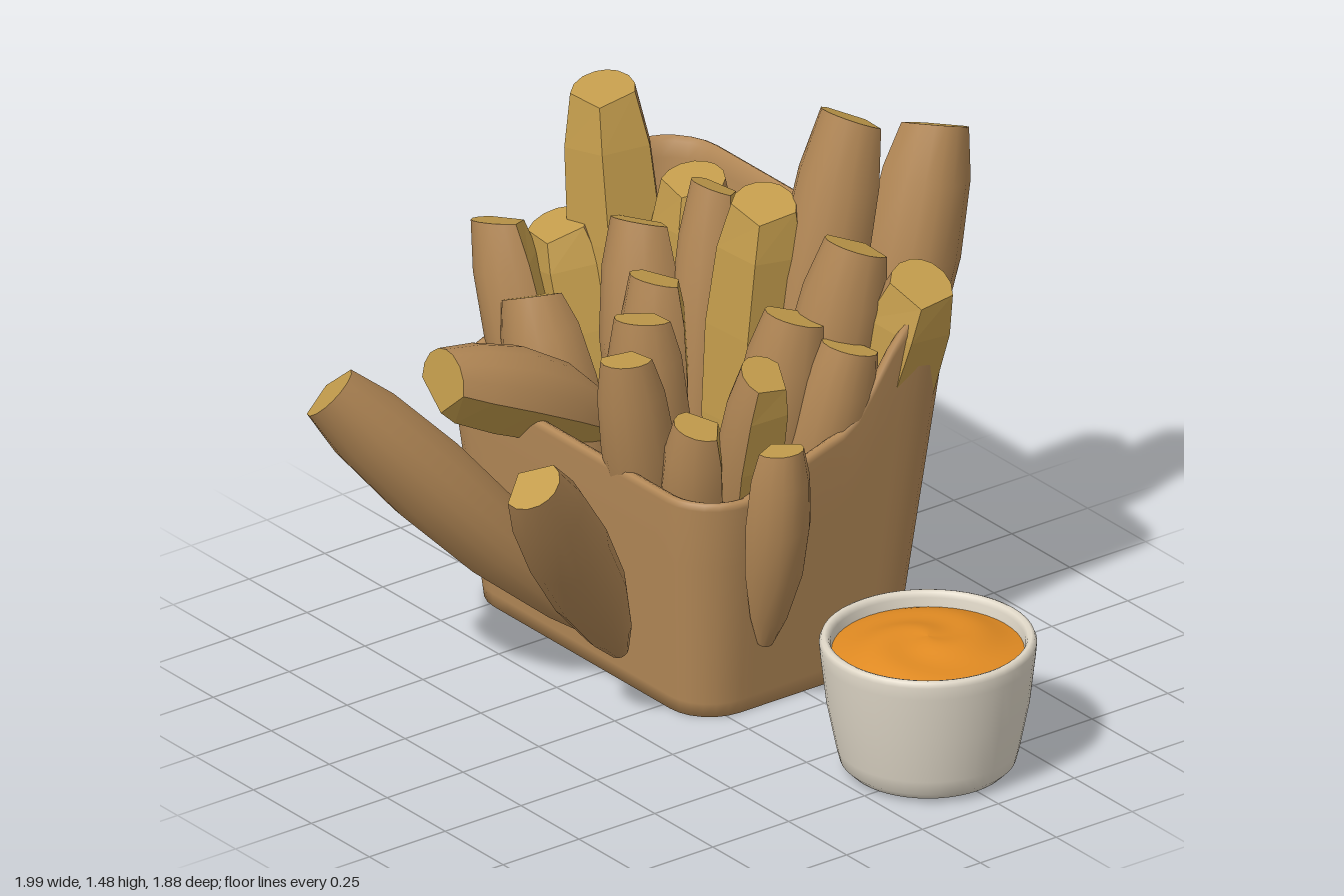
import * as THREE from 'three';

const V = (x, y, z) => new THREE.Vector3(x, y, z);
const rad = THREE.MathUtils.degToRad;
const material = (name, color) => Object.assign(new THREE.MeshStandardMaterial({ color }), { name });

// Surface through rows of points; closed rows wrap round, flat gives hard facets
function loft(rows, closed = false, flat = false) {
  const n = rows[0].length, index = [];
  for (let i = 0; i < rows.length - 1; i++) {
    for (let j = 0; j < (closed ? n : n - 1); j++) {
      const a = i * n + j, b = i * n + (j + 1) % n;
      index.push(a, b, b + n, a, b + n, a + n);
    }
  }
  let g = new THREE.BufferGeometry().setFromPoints(rows.flat());
  g.setIndex(index);
  if (flat) g = g.toNonIndexed();
  g.computeVertexNormals();
  return g;
}

function mesh(geometry, mat, name) {
  const m = new THREE.Mesh(geometry, mat);
  m.name = name;
  return m;
}

// Rounded, flaring carton with a low front and a tall back
function makeCarton(mat) {
  // outline of unit corners and arc directions, with each straight side subdivided
  const corner = (k) => [Math.sign(Math.cos(rad(45 + 90 * k))), -Math.sign(Math.sin(rad(45 + 90 * k)))];
  const outline = [];
  for (let k = 0; k < 4; k++) {
    const [sx, sz] = corner(k), [nx, nz] = corner(k + 1);
    for (let i = 0; i < 18; i++) {
      const a = rad(90 * k + 15 * Math.min(i, 6)), t = Math.max(i - 6, 0) / 12;
      outline.push([sx + (nx - sx) * t, sz + (nz - sz) * t, Math.cos(a), -Math.sin(a)]);
    }
  }
  const ring = (level, inset, spread = 1, floor = 0) => outline.map(([sx, sz, cx, cz]) => {
    const s = (1 - sz) / 2;
    const rim = 0.66 + 0.19 * s + 0.22 * THREE.MathUtils.smoothstep(s, 0.6, 0.95);
    const y = floor + (rim - floor) * level, r = 0.13 + 0.04 * y - inset;
    const halfWidth = 0.51 + 0.126 * y - inset;
    const front = 0.09 + 0.09 * y - inset, back = -0.62 - 0.103 * y + inset;
    const x = -0.35 - 0.005 * y + (sx * (halfWidth - r) + cx * r) * spread;
    const z = (front + back) / 2 + (sz * ((front - back) / 2 - r) + cz * r) * spread;
    return V(x, y, z);
  });
  // underside, outer wall, rim, inner wall, floor
  const rows = [
    ring(0, 0, 0), ring(0, 0.03),
    ...[0, 0.06, 0.15, 0.4, 0.7, 0.97].map((level) => ring(level, 0)),
    ring(0.995, 0.006), ring(1, 0.017), ring(0.99, 0.03), ring(0.95, 0.035),
    ring(0.5, 0.035, 1, 0.08), ring(0, 0.05, 1, 0.08), ring(0, 0.05, 0, 0.08),
  ];
  return mesh(loft(rows, true), mat, 'carton');
}

// Potato wedge: a rounded skin and two cut faces meeting in a ridge.
// azimuth is the compass direction the skin faces (0 = +x, 90 = +z).
function makeWedge(name, base, tip, radius, azimuth, skin, flesh) {
  const group = new THREE.Group();
  group.name = name;
  const d = tip.clone().sub(base).normalize();
  const s = V(Math.cos(rad(azimuth)), 0, Math.sin(rad(azimuth)));
  s.addScaledVector(d, -s.dot(d)).normalize();
  const w = d.clone().cross(s);
  const sizes = [[0, 0.25], [0.15, 0.6], [0.4, 0.95], [0.65, 1.05], [0.87, 0.95], [1, 0.72]];
  const rows = (angles) => sizes.map(([t, k]) => angles.map((deg) => {
    const r = radius * k * (deg === 180 ? 0.85 : 1);
    const u = Math.cos(rad(deg)) * r, v = Math.sin(rad(deg)) * r;
    return base.clone().lerp(tip, t)
      .addScaledVector(s, u + Math.sin(t * Math.PI) * radius * 0.15)
      .addScaledVector(w, v)
      .addScaledVector(d, t === 1 ? 0.35 * u : 0);
  }));
  const skinSide = rows([-95, -70, -45, -20, 0, 20, 45, 70, 95]), cut = rows([95, 180, 265]);
  group.add(mesh(loft(skinSide), skin, 'wedgeSkin'));
  group.add(mesh(loft(cut, false, true), flesh, 'wedgeCutFaces'));
  // end faces
  for (const i of [0, sizes.length - 1]) {
    const edge = [...skinSide[i], cut[i][1]];
    const middle = edge.reduce((m, p) => m.add(p), V(0, 0, 0)).divideScalar(edge.length);
    const fan = edge.map(() => middle);
    group.add(mesh(loft(i ? [edge, fan] : [fan, edge], true, true), flesh, 'wedgeEnd'));
  }
  return group;
}

// Lathe-turned dip cup and swirled sauce
function makeDip(cupMat, sauceMat) {
  const group = new THREE.Group();
  group.name = 'dipCup';
  const profile = [[0, 0], [0.18, 0], [0.21, 0.008], [0.232, 0.03], [0.242, 0.07], [0.268, 0.2], [0.283, 0.33],
    [0.286, 0.365], [0.281, 0.378], [0.272, 0.382], [0.262, 0.378], [0.256, 0.365], [0.25, 0.31], [0.23, 0.1], [0, 0.09]];
  group.add(mesh(new THREE.LatheGeometry(profile.map((p) => new THREE.Vector2(...p)), 48), cupMat, 'cup'));
  const points = [];
  for (let i = 0; i <= 14; i++) points.push(new THREE.Vector2(0.253 * (1 - i / 14), 0));
  const sauce = new THREE.LatheGeometry(points, 48);
  const p = sauce.attributes.position;
  for (let i = 0; i < p.count; i++) {
    const x = p.getX(i), z = p.getZ(i), r = Math.hypot(x, z) / 0.253;
    const swirl = Math.sin(2 * Math.atan2(z, x) + 7 * r) * 0.024 * r * (1 - r);
    p.setY(i, 0.34 + 0.04 * (1 - r * r) + swirl);
  }
  sauce.computeVertexNormals();
  group.add(mesh(sauce, sauceMat, 'sauce'));
  group.position.set(0.71, 0, -0.24);
  return group;
}

export function createModel() {
  const model = new THREE.Group();
  const carton = material('cartonBrown', 0xb58a58);
  const skin = material('potatoSkin', 0xb38856);
  const flesh = material('potatoFlesh', 0xc39c4c);
  const cup = material('cupCream', 0xe0d8c8);
  const sauce = material('sauceOrange', 0xe08a22);

  model.add(makeCarton(carton));

  // wedges hanging over the front, side and back: base, tip, radius, skin direction
  const hanging = [
    [V(-0.22, 0.14, 0.12), V(-0.42, 0.98, 0.87), 0.115, 20],
    [V(-0.54, 0.3, 0.18), V(-0.46, 0.9, 0.8), 0.09, -100],
    [V(-0.14, 0.12, 0.13), V(0.18, 0.88, 0.66), 0.11, 10],
    [V(-0.55, 0.5, -0.2), V(-0.57, 0.8, 0.38), 0.125, -90],
    [V(0.19, 0.2, -0.1), V(0.31, 0.82, -0.06), 0.085, 10],
    [V(-0.09, 0.43, -0.64), V(-0.06, 1.39, -0.85), 0.125, 20],
  ];
  hanging.forEach((w, i) => model.add(makeWedge(`hangingWedge${i + 1}`, ...w, skin, flesh)));

  // wedges standing in the carton: tip and skin direction; they fan out from the floor
  const standing = [
    [-0.14, 1.44, -0.64, 70], [-0.81, 1.35, -0.33, -135], [-0.58, 1.14, -0.45, -120],
    [-0.22, 1.22, -0.41, -135], [0.1, 1.21, -0.47, 60], [0.25, 1.12, -0.57, -150],
    [-0.45, 1.18, -0.43, 100], [-0.91, 1.01, -0.07, 100], [-0.6, 1.06, -0.3, 80],
    [-0.12, 0.97, 0.12, 50], [-0.27, 0.98, -0.05, 60], [0.06, 1.04, -0.3, 60],
    [0.17, 0.96, -0.12, 150], [-0.4, 1, -0.2, 90], [-0.76, 0.85, -0.06, 60],
    [0.04, 0.8, 0, 90], [0.19, 0.98, -0.38, 40], [-0.84, 0.98, -0.2, -120],
  ];
  standing.forEach(([x, y, z, azimuth], i) => {
    const base = V(-0.32 + (x + 0.32) * 0.6, 0.2, -0.25 + (z + 0.25) * 0.5);
    const radius = i < 6 ? 0.12 : 0.095 + 0.01 * (i % 3);
    model.add(makeWedge(`standingWedge${i + 1}`, base, V(x, y, z), radius, azimuth, skin, flesh));
  });

  model.add(makeDip(cup, sauce));
  return model;
}
